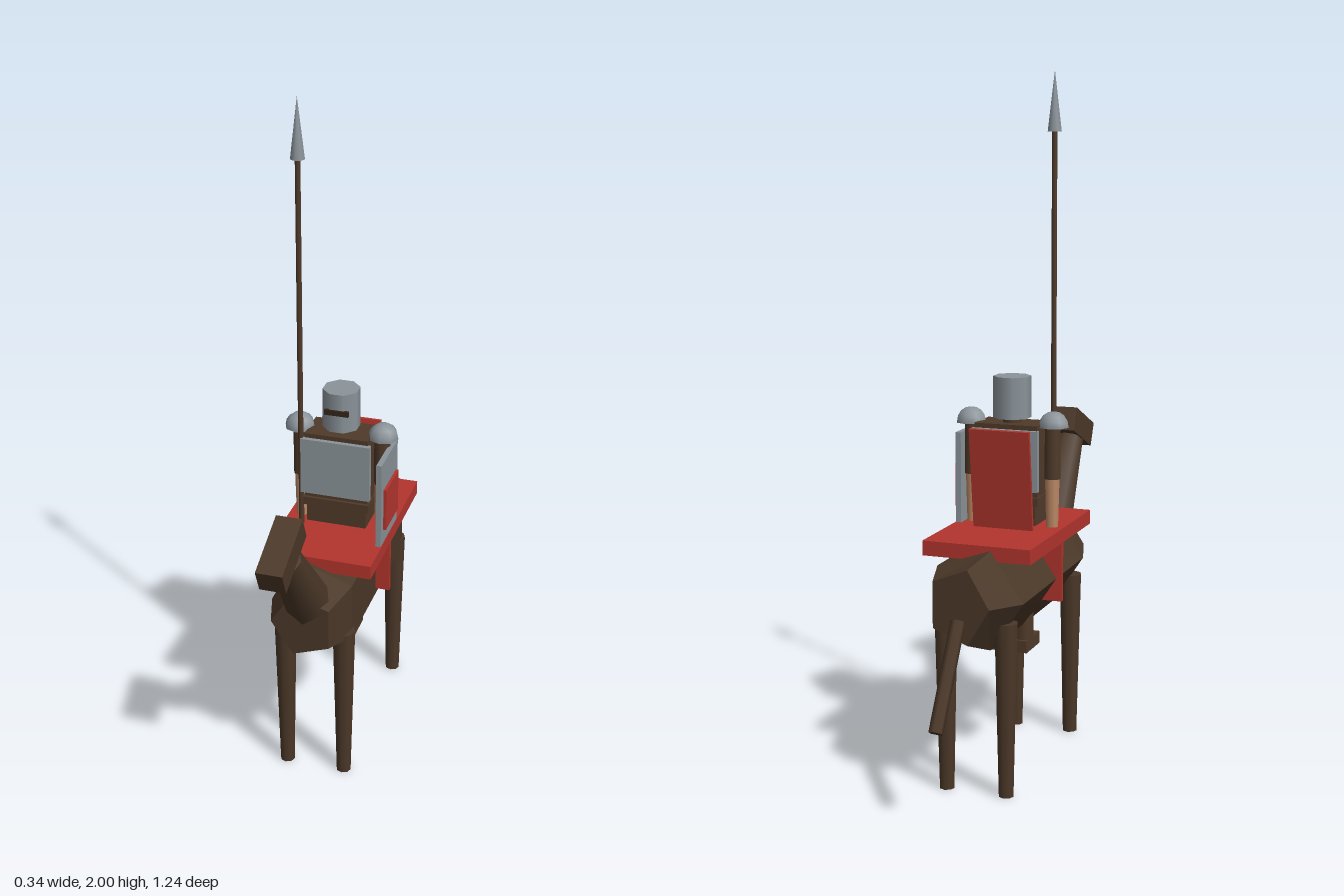
import * as THREE from 'three';

const mat = (name, color) => {
  const m = new THREE.MeshStandardMaterial({ color });
  m.name = name;
  return m;
};

export function createModel() {
  const hide = mat('horse brown', 0x4b3828);
  const leather = mat('leather brown', 0x503a2a);
  const red = mat('red cloth', 0xb3352d);
  const steel = mat('steel', 0x8b949a);
  const skin = mat('skin', 0xbd8a66);
  const dark = mat('visor dark', 0x33251b);

  const root = new THREE.Group();
  root.name = 'mountedKnight';
  const add = (parent, name, geo, material, x = 0, y = 0, z = 0) => {
    const m = new THREE.Mesh(geo, material);
    m.name = name;
    m.position.set(x, y, z);
    parent.add(m);
    return m;
  };
  const box = (w, h, d) => new THREE.BoxGeometry(w, h, d);
  const cyl = (rt, rb, h, n = 8) => new THREE.CylinderGeometry(rt, rb, h, n);
  // Tapered round bar between two points
  const bar = (parent, name, a, b, ra, rb, material, n = 8) => {
    const va = new THREE.Vector3(...a), vb = new THREE.Vector3(...b);
    const dir = vb.clone().sub(va);
    const m = add(parent, name, cyl(rb, ra, dir.length(), n), material);
    m.position.copy(va).add(vb).multiplyScalar(0.5);
    m.quaternion.setFromUnitVectors(new THREE.Vector3(0, 1, 0), dir.normalize());
    return m;
  };

  // ---- Horse ----
  const horse = new THREE.Group();
  horse.name = 'horse';
  root.add(horse);

  // Five-sided barrel lofted from rings [z, centreY, radiusX, radiusY]
  const rings = [
    [-0.45, 0.57, 0.09, 0.11],
    [-0.32, 0.557, 0.14, 0.148],
    [0.22, 0.557, 0.134, 0.148],
    [0.345, 0.567, 0.095, 0.105],
  ].map(([z, cy, rx, ry]) => Array.from({ length: 5 }, (_, k) => {
    const t = Math.PI / 5 + (k * Math.PI * 2) / 5;
    return [rx * Math.cos(t), cy + ry * Math.sin(t), z];
  }));
  const pos = [];
  const tri = (...pts) => pts.forEach((p) => pos.push(...p));
  for (let i = 0; i < rings.length - 1; i++) {
    for (let k = 0; k < 5; k++) {
      const n = (k + 1) % 5;
      tri(rings[i][k], rings[i][n], rings[i + 1][n]);
      tri(rings[i][k], rings[i + 1][n], rings[i + 1][k]);
    }
  }
  const [rump, chest] = [rings[0], rings[rings.length - 1]];
  for (let k = 1; k < 4; k++) {
    tri(rump[0], rump[k + 1], rump[k]);
    tri(chest[0], chest[k], chest[k + 1]);
  }
  const barrel = new THREE.BufferGeometry();
  barrel.setAttribute('position', new THREE.Float32BufferAttribute(pos, 3));
  barrel.computeVertexNormals();
  add(horse, 'horseBody', barrel, hide);

  bar(horse, 'horseNeck', [0, 0.58, 0.265], [0, 0.87, 0.483], 0.072, 0.045, hide);
  add(horse, 'horseHead', box(0.075, 0.075, 0.19), hide, 0, 0.905, 0.516).rotation.x = 0.42;
  bar(horse, 'tail', [0, 0.53, -0.447], [0, 0.27, -0.605], 0.021, 0.02, hide, 6);
  for (const s of [-1, 1]) {
    add(horse, 'frontLeg', cyl(0.034, 0.022, 0.5), hide, s * 0.089, 0.25, 0.235);
    add(horse, 'hindLeg', cyl(0.034, 0.022, 0.5), hide, s * 0.089, 0.25, -0.32);
  }

  // Saddle blanket and the strap plate hanging below it
  add(horse, 'blanket', box(0.318, 0.042, 0.526), red, 0, 0.689, -0.056);
  add(horse, 'girthStrap', box(0.306, 0.19, 0.014), red, 0, 0.585, -0.03);

  // ---- Rider ----
  const rider = new THREE.Group();
  rider.name = 'rider';
  root.add(rider);
  const cz = -0.033;

  add(rider, 'torso', box(0.19, 0.23, 0.11), leather, 0, 0.893, cz);
  add(rider, 'hips', box(0.18, 0.07, 0.11), leather, 0, 0.755, cz);
  add(rider, 'belt', box(0.2, 0.025, 0.128), leather, 0, 0.79, cz);
  add(rider, 'breastplate', box(0.208, 0.175, 0.018), steel, 0, 0.907, 0.027);
  add(rider, 'backplate', box(0.2, 0.175, 0.018), steel, 0, 0.907, -0.092);
  add(rider, 'neck', cyl(0.028, 0.028, 0.03), leather, 0, 1.015, cz);

  // Helmet with a flat face to the front and a thin visor slit
  add(rider, 'helmet', cyl(0.055, 0.055, 0.12), steel, 0, 1.081, cz).rotation.y = Math.PI / 8;
  add(rider, 'visorSlit', box(0.072, 0.016, 0.009), dark, 0, 1.084, 0.018);

  // Paired limbs and domed shoulder guards
  const dome = new THREE.SphereGeometry(0.045, 8, 4, 0, Math.PI * 2, 0, Math.PI / 2);
  const domeBase = new THREE.CircleGeometry(0.045, 8);
  for (const s of [-1, 1]) {
    add(rider, 'shoulderGuard', dome, steel, s * 0.126, 1.0, cz);
    add(rider, 'shoulderGuardBase', domeBase, steel, s * 0.126, 1.0, cz).rotation.x = Math.PI / 2;
    add(rider, 'upperArm', cyl(0.024, 0.024, 0.15), leather, s * 0.123, 0.925, cz);
    add(rider, 'forearm', cyl(0.022, 0.018, 0.15), skin, s * 0.122, 0.775, cz);
    add(rider, 'leg', cyl(0.036, 0.03, 0.4), leather, s * 0.035, 0.56, cz);
    add(rider, 'boot', box(0.05, 0.036, 0.112), leather, s * 0.033, 0.352, -0.014);
  }

  add(rider, 'cape', box(0.18, 0.29, 0.011), red, 0, 0.855, -0.122).rotation.x = -0.115;

  // Shield on the left arm
  add(rider, 'shield', box(0.016, 0.31, 0.174), steel, 0.149, 0.82, 0.008);
  add(rider, 'shieldPanel', box(0.009, 0.13, 0.132), red, 0.161, 0.82, 0.004);

  // Lance in the right hand
  add(rider, 'lanceShaft', cyl(0.008, 0.008, 1.23), leather, -0.106, 1.215, 0.023);
  add(rider, 'lanceTip', new THREE.ConeGeometry(0.021, 0.17, 8), steel, -0.106, 1.911, 0.023);

  return root;
}
